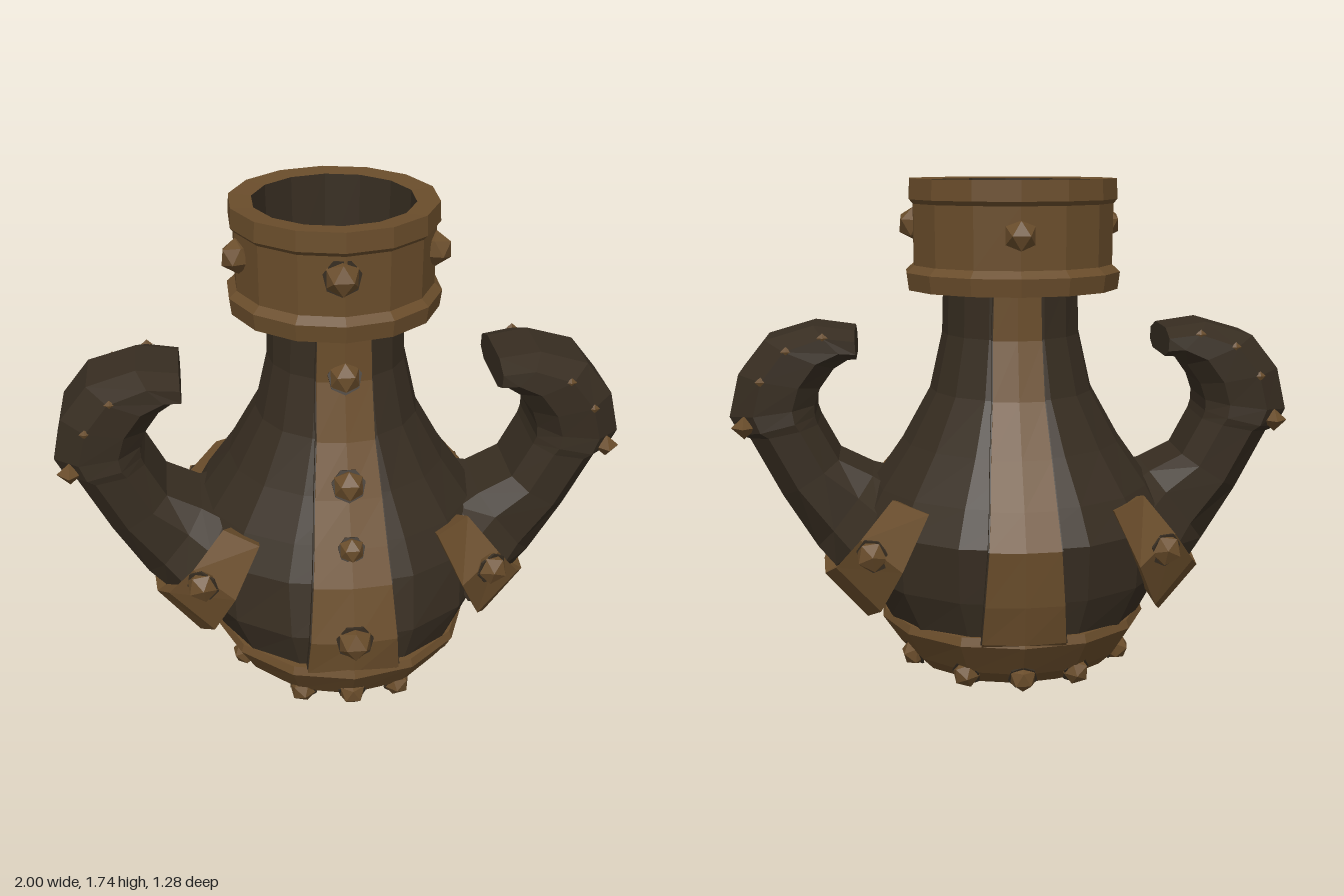
import * as THREE from 'three';

const bronze = new THREE.MeshStandardMaterial({ color: 0x6a4d2b });
bronze.name = 'bronze';
const darkIron = new THREE.MeshStandardMaterial({ color: 0x372d21 });
darkIron.name = 'darkIron';

const V = (x, y, z) => new THREE.Vector3(x, y, z);
const POWER = 2.12; // slightly squared ellipse

// Flat-shaded skin over rings that run counter-clockwise about the direction of travel
function loft(rings, capStart = true, capEnd = true) {
  const pos = [];
  const tri = (...pts) => pts.forEach((p) => pos.push(p.x, p.y, p.z));
  const n = rings[0].length;
  const centre = (r) => r.reduce((s, p) => s.add(p), V(0, 0, 0)).divideScalar(n);
  for (let i = 0; i < rings.length - 1; i++) {
    for (let j = 0; j < n; j++) {
      const k = (j + 1) % n;
      const [a, b, c, d] = [rings[i][j], rings[i][k], rings[i + 1][k], rings[i + 1][j]];
      tri(a, b, c);
      tri(a, c, d);
    }
  }
  const first = rings[0], last = rings[rings.length - 1];
  for (let j = 0; j < n; j++) {
    const k = (j + 1) % n;
    if (capStart) tri(centre(first), first[k], first[j]);
    if (capEnd) tri(centre(last), last[j], last[k]);
  }
  const g = new THREE.BufferGeometry();
  g.setAttribute('position', new THREE.Float32BufferAttribute(pos, 3));
  g.computeVertexNormals();
  return g;
}

// Horizontal ring: half-width rx, reaching zf at the front and zb at the back
function ovalRing(y, rx, zf, zb, sides, lift = 0, power = POWER) {
  const ring = [];
  for (let i = 0; i < sides; i++) {
    const a = (i / sides) * Math.PI * 2;
    const s = Math.sin(a), c = Math.cos(a);
    const m = (Math.abs(s) ** power + Math.abs(c) ** power) ** (-1 / power);
    ring.push(V(rx * s * m, y + lift * Math.abs(c), (c > 0 ? zf : -zb) * c * m));
  }
  return ring;
}

// Mirror rings to the other side, keeping the faces outward
const mirrorRings = (rings, side) => side > 0 ? rings
  : rings.map((r) => r.map((p) => V(-p.x, p.y, p.z)).reverse());

// Body rows: y, half-width, front z, back z, strip half-width
const BODY = [
  [0.12, 0.40, 0.49, -0.48, 0.17],
  [0.22, 0.47, 0.56, -0.56, 0.16],
  [0.36, 0.55, 0.575, -0.59, 0.15],
  [0.55, 0.56, 0.52, -0.605, 0.135],
  [0.67, 0.495, 0.46, -0.54, 0.125],
  [0.82, 0.39, 0.385, -0.44, 0.115],
  [1.0, 0.29, 0.305, -0.34, 0.10],
  [1.2, 0.245, 0.25, -0.285, 0.095],
  [1.385, 0.24, 0.25, -0.285, 0.09],
];

export function createModel() {
  const model = new THREE.Group();
  const add = (name, geometry, material) => {
    const mesh = new THREE.Mesh(geometry, material);
    mesh.name = name;
    model.add(mesh);
    return mesh;
  };

  // Bulbous body
  add('body', loft(BODY.map(([y, rx, zf, zb]) => ovalRing(y, rx, zf, zb, 16))), darkIron);

  // Base bowl with a raised lip
  add('baseBowl', loft([
    ovalRing(0, 0.31, 0.37, -0.35, 14),
    ovalRing(0.035, 0.37, 0.45, -0.43, 14),
    ovalRing(0.09, 0.415, 0.52, -0.51, 14),
    ovalRing(0.18, 0.48, 0.60, -0.59, 14, 0.03),
    ovalRing(0.205, 0.47, 0.59, -0.58, 14, 0.035),
    ovalRing(0.21, 0.40, 0.50, -0.50, 14, 0.035),
  ]), bronze);

  // Vertical strips front and back: a dark backing with a thin bronze face
  const stripRings = (zs, extra, outer, inner) => BODY.map(([y, rx, zf, zb, w0]) => {
    const rz = zs > 0 ? zf : -zb;
    const w = w0 * (zs > 0 ? 1 : 0.88);
    const edge = rz * (1 - (w / rx) ** POWER) ** (1 / POWER);
    const p = (x, z) => V(x * zs, y, z * zs);
    const v = w + extra;
    return [p(-v, edge + outer), p(0, rz + outer), p(v, edge + outer), p(v, edge + inner), p(0, rz + inner), p(-v, edge + inner)];
  });
  for (const [label, zs] of [['front', 1], ['back', -1]]) {
    add(label + 'StripBacking', loft(stripRings(zs, 0.004, 0.018, -0.07)), darkIron);
    add(label + 'Strip', loft(stripRings(zs, 0, 0.026, 0.017)), bronze);
  }

  // Neck collar: two lips around a plain band, with a dark bore
  const round = (y, r) => ovalRing(y, r, r, -r, 14, 0, 2).map((p) => p.add(V(0, 0, -0.063)));
  add('neckCollar', loft([
    round(1.37, 0.22), round(1.36, 0.372), round(1.42, 0.38), round(1.445, 0.352), round(1.655, 0.354),
    round(1.67, 0.368), round(1.74, 0.365), round(1.735, 0.285),
  ], false, false), bronze);
  add('neckBore', loft([round(1.735, 0.285), round(1.39, 0.275)], false, true), darkIron);

  // Arm sections: outer x, y, inner x, y, half-depth, middle z
  const ARM = [
    [0.50, 0.24, 0.30, 0.60, 0.36, 0.01],
    [0.635, 0.38, 0.42, 0.66, 0.30, 0.03],
    [0.70, 0.43, 0.50, 0.69, 0.20, 0.055],
    [0.82, 0.62, 0.62, 0.75, 0.195, 0.055],
    [0.93, 0.83, 0.69, 0.88, 0.198, 0.055],
    [0.965, 0.845, 0.70, 0.91, 0.205, 0.055],
    [1.0, 0.91, 0.70, 0.95, 0.20, 0.055],
    [0.965, 1.06, 0.68, 1.01, 0.205, 0.055],
    [0.87, 1.18, 0.63, 1.08, 0.205, 0.055],
    [0.70, 1.23, 0.58, 1.11, 0.195, 0.055],
    [0.555, 1.21, 0.55, 1.11, 0.185, 0.055],
  ];
  const SECTION = [[0.75, 1], [0.3, 1], [0, 0.55], [0, -0.55], [0.3, -1], [0.75, -1], [1, -0.65], [1, 0.65]];
  const armRings = ARM.map(([ox, oy, ix, iy, h, z]) =>
    SECTION.map(([t, k]) => V(ox + (ix - ox) * t, oy + (iy - oy) * t, z + h * k)));

  // Strap edges on the arm side and the body side: x, y, front z, back z, down to the lowest point
  const ARM_EDGE = [[0.43, 0.69, 0.34, -0.36], [0.54, 0.555, 0.375, -0.375], [0.63, 0.425, 0.31, -0.25], [0.675, 0.365, 0.2, -0.11], [0.685, 0.355, 0.055]];
  const BODY_EDGE = [[0.31, 0.665, 0.42, -0.47], [0.40, 0.47, 0.45, -0.485], [0.475, 0.30, 0.375, -0.37], [0.525, 0.22, 0.25, -0.17], [0.54, 0.205, 0.055]];
  const bothEnds = (pts) => [
    ...pts.map(([x, y, z]) => V(x, y, z)),
    ...pts.slice(0, -1).reverse().map(([x, y, , zBack]) => V(x, y - 0.02, zBack)),
  ];
  const core = V(0.3, 0.55, 0.04);
  const bodyEdge = bothEnds(BODY_EDGE);
  const strapRings = bothEnds(ARM_EDGE).map((a, i) => {
    const b = bodyEdge[i];
    return [a, b, b.clone().lerp(core, 0.3), a.clone().lerp(core, 0.3)];
  });

  // Faceted rivet standing on a thin dark washer
  const rivetShape = new THREE.IcosahedronGeometry(0.058, 0);
  const washerShape = new THREE.CylinderGeometry(0.06, 0.06, 0.008, 7).toNonIndexed();
  washerShape.computeVertexNormals();
  const rivet = (name, p, normal, scale = 1, washer = true) => {
    const g = new THREE.Group();
    g.name = name;
    const stud = new THREE.Mesh(rivetShape, bronze);
    stud.name = 'stud';
    g.add(stud);
    if (washer) {
      const disc = new THREE.Mesh(washerShape, darkIron);
      disc.name = 'washer';
      g.add(disc);
    }
    g.position.copy(p);
    g.quaternion.setFromUnitVectors(V(0, 1, 0), normal.normalize());
    g.scale.setScalar(scale);
    model.add(g);
  };

  // Worn bronze spots on the arm edges: x, y, z, size
  const WORN = [
    [0.945, 0.88, 0.225, 0.045], [0.945, 0.88, -0.115, 0.045],
    [0.79, 1.15, -0.147, 0.02], [0.665, 1.195, -0.137, 0.02], [0.88, 1.045, -0.148, 0.02],
    [0.79, 1.15, 0.257, 0.02], [0.88, 1.045, 0.258, 0.02],
  ];
  for (const side of [1, -1]) {
    const label = side > 0 ? 'left' : 'right';
    add(label + 'Arm', loft(mirrorRings(armRings, side)), darkIron);
    add(label + 'Strap', loft(mirrorRings(strapRings, side)), bronze);
    rivet(label + 'StrapFrontRivet', V(0.51 * side, 0.51, 0.405), V(0.45 * side, -0.1, 0.9));
    rivet(label + 'StrapBackRivet', V(0.50 * side, 0.49, -0.41), V(0.45 * side, -0.1, -0.9));
    rivet(label + 'CollarRivet', V(0.34 * side, 1.58, 0.04), V(side, 0, 0.3), 1.05, false);
    for (const [x, y, z, size] of WORN) {
      const spot = add(label + 'WornEdge', new THREE.OctahedronGeometry(size), bronze);
      spot.position.set(x * side, y, z);
      spot.scale.set(1, 0.9, size > 0.03 ? 1 : 0.4);
    }
  }

  // Rivets down the front strip: y, z, size
  [[1.22, 0.275, 1], [0.87, 0.395, 1], [0.67, 0.485, 0.8], [0.365, 0.595, 1.1]].forEach(([y, z, s]) =>
    rivet('frontStripRivet', V(0, y, z), V(0, y > 0.4 ? 0.4 : 0, 1), s));

  // Collar rivets at the front and back
  rivet('collarFrontRivet', V(-0.01, 1.58, 0.285), V(0, 0, 1), 1.1);
  rivet('collarBackRivet', V(0, 1.56, -0.405), V(0, 0, -1), 1.0, false);

  // Rivets around the base bowl, by angle from the front
  for (const degrees of [0, 25, 65, 116, 152, 180, 208, 244, 295, 335]) {
    const a = THREE.MathUtils.degToRad(degrees);
    const y = degrees === 0 ? 0.1 : 0.08;
    const x = Math.sin(a) * (0.36 + y * 0.5), z = Math.cos(a) * (0.45 + y * 0.7);
    rivet('baseRivet', V(x, y, z), V(Math.sin(a), -0.5, Math.cos(a)), 0.85);
  }
  return model;
}
